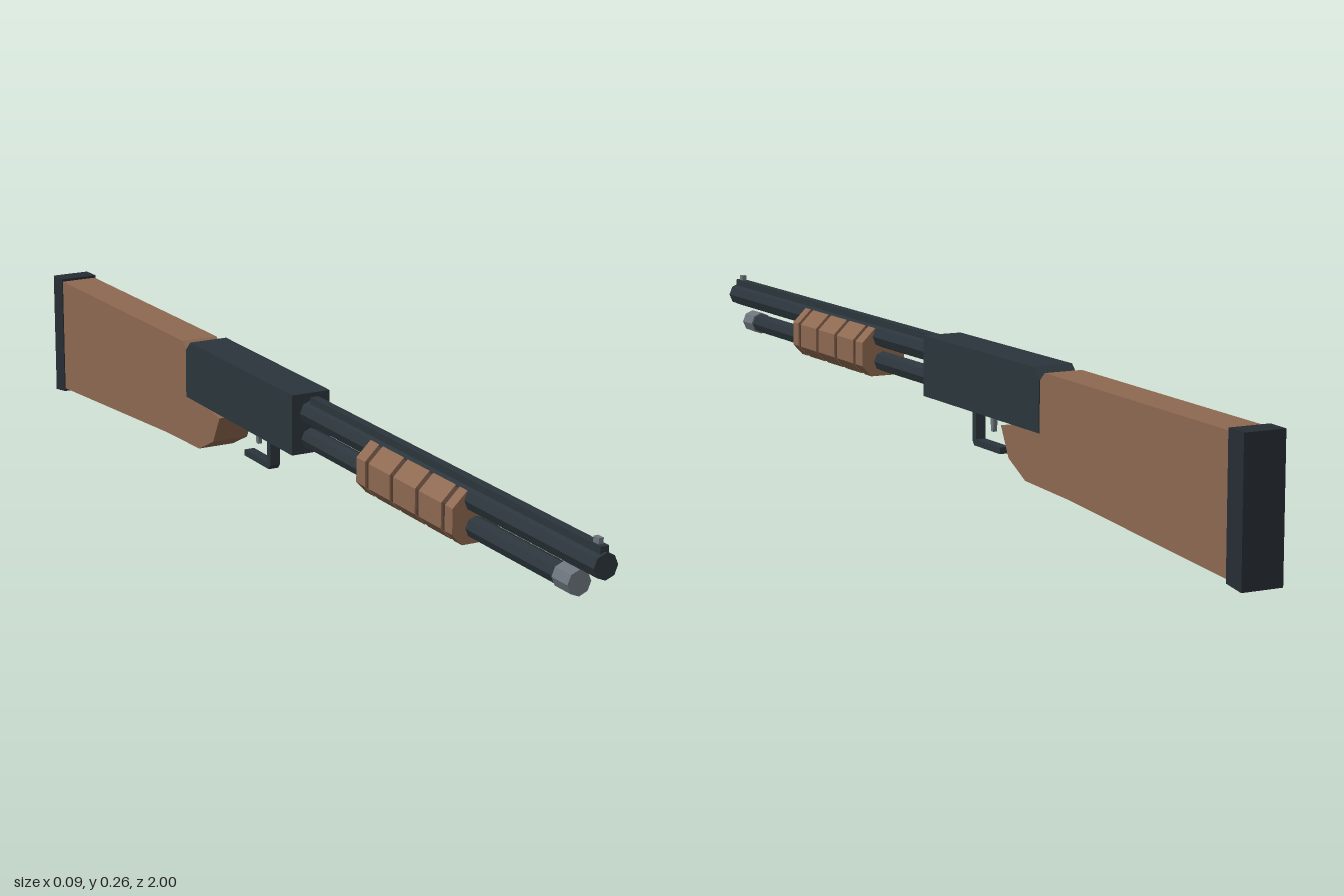
import * as THREE from 'three';

const flat = (name, color) => {
  const m = new THREE.MeshStandardMaterial({ color, flatShading: true });
  m.name = name;
  return m;
};

export function createModel() {
  const group = new THREE.Group();
  const metal = flat('gunmetal', 0x2b353b);
  const rubber = flat('dark rubber', 0x262d33);
  const wood = flat('wood', 0x8d6850);
  const grooveWood = flat('dark wood', 0x4e392d);
  const steel = flat('steel', 0x6b747b);

  const add = (name, geometry, material) => {
    const mesh = new THREE.Mesh(geometry, material);
    mesh.name = name;
    group.add(mesh);
    return mesh;
  };
  const shapeOf = (points) => new THREE.Shape(points.map(([a, b]) => new THREE.Vector2(a, b)));

  // Side profile of [z, y] points, extruded across x
  const profile = (name, points, halfWidth, material) => {
    const g = new THREE.ExtrudeGeometry(shapeOf(points), { depth: halfWidth * 2, bevelEnabled: false });
    g.rotateY(-Math.PI / 2).translate(halfWidth, 0, 0);
    return add(name, g, material);
  };
  // Octagonal rod along z
  const rod = (name, radius, y, z0, z1, material) => {
    const g = new THREE.CylinderGeometry(radius, radius, z1 - z0, 8);
    g.rotateX(Math.PI / 2).translate(0, y, (z0 + z1) / 2);
    return add(name, g, material);
  };
  const box = (name, w, y0, y1, z0, z1, material) => {
    const g = new THREE.BoxGeometry(w, y1 - y0, z1 - z0);
    g.translate(0, (y0 + y1) / 2, (z0 + z1) / 2);
    return add(name, g, material);
  };

  // Receiver with a chamfered rear top edge
  profile('receiver', [
    [0.062, 0.145], [0.062, 0.258], [-0.35, 0.258], [-0.37, 0.238], [-0.37, 0.145],
  ], 0.0385, metal);

  // Stock with its grip, and the butt pad
  profile('stock', [
    [-0.36, 0.235], [-0.37, 0.237], [-0.387, 0.252], [-0.957, 0.245], [-0.957, 0.012],
    [-0.47, 0.047], [-0.32, 0.053], [-0.26, 0.083], [-0.232, 0.137], [-0.31, 0.148], [-0.36, 0.15],
  ], 0.0365, wood);
  profile('buttPad', [
    [-0.957, 0.25], [-1, 0.249], [-1, 0], [-0.957, 0.006],
  ], 0.0385, rubber);

  // Barrel, top rib and front sight
  rod('barrel', 0.0225, 0.222, 0.05, 1, metal);
  box('rib', 0.016, 0.235, 0.254, 0.075, 0.995, metal);
  box('frontSight', 0.009, 0.25, 0.264, 0.97, 0.985, steel);

  // Magazine tube and end cap
  rod('magazineTube', 0.0195, 0.173, 0.05, 0.89, metal);
  rod('magazineCap', 0.0222, 0.173, 0.885, 0.93, steel);

  // Pump: octagonal segments parted by narrow dark grooves
  const slice = (name, z0, z1, inset, material) => {
    const s = 0.0445 - inset, top = 0.238 - inset, bottom = 0.145 + inset;
    const g = new THREE.ExtrudeGeometry(shapeOf([
      [-0.025, bottom], [0.025, bottom], [s, 0.166], [s, 0.211],
      [0.017, top], [-0.017, top], [-s, 0.211], [-s, 0.166],
    ]), { depth: z1 - z0, bevelEnabled: false });
    g.translate(0, 0, z0);
    add(name, g, material);
  };
  const grooves = [0.343, 0.427, 0.511, 0.595];
  const half = 0.006;
  let start = 0.307;
  grooves.forEach((z) => {
    slice('pumpSegment', start, z - half, 0, wood);
    slice('pumpGroove', z - half, z + half, 0.003, grooveWood);
    start = z + half;
  });
  slice('pumpSegment', start, 0.625, 0, wood);

  // Open trigger guard and trigger
  profile('triggerGuard', [
    [-0.076, 0.15], [-0.09, 0.15], [-0.09, 0.086], [-0.18, 0.086],
    [-0.18, 0.074], [-0.083, 0.074], [-0.076, 0.083],
  ], 0.01, metal);
  profile('trigger', [
    [-0.132, 0.15], [-0.146, 0.15], [-0.144, 0.108], [-0.136, 0.108],
  ], 0.004, steel);

  return group;
}
